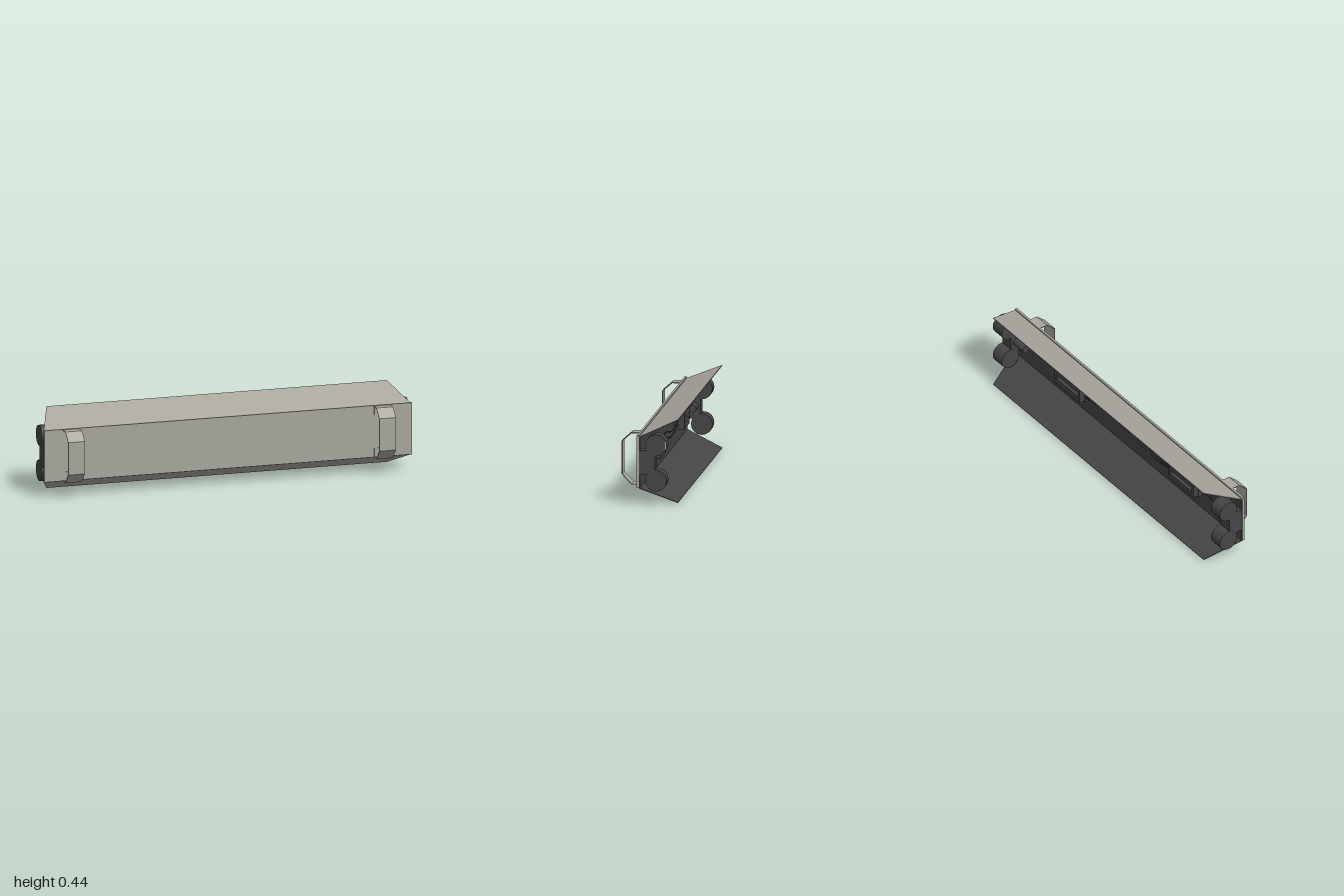
import * as THREE from 'three';

const MID = 0.2215; // height of the horizontal symmetry plane

export function createModel() {
  const root = new THREE.Group();
  root.name = 'lightFixture';
  const mat = (name, color, extra = {}) => {
    const m = new THREE.MeshStandardMaterial({ color, ...extra });
    m.name = name;
    return m;
  };
  const metal = mat('light grey metal', 0xa8a69d);
  const dark = mat('dark grey', 0x454545);
  const darkFlat = dark;

  const add = (parent, name, geo, material, x = 0, y = 0, z = 0) => {
    const m = new THREE.Mesh(geo, material);
    m.name = name;
    m.position.set(x, y, z);
    parent.add(m);
    return m;
  };
  const box = (parent, name, material, w, h, d, x, y, z) =>
    add(parent, name, new THREE.BoxGeometry(w, h, d), material, x, y, z);
  const polygon = (pts) => new THREE.Shape(pts.map(([x, y]) => new THREE.Vector2(x, y)));
  const extrude = (shape, depth) =>
    new THREE.ExtrudeGeometry(shape, { depth, bevelEnabled: false });

  // Back plate with its dark inner lining
  box(root, 'mainPlate', metal, 2, 0.277, 0.012, 0, 0.2265, 0.051);
  box(root, 'innerLining', dark, 1.996, 0.266, 0.004, 0, MID, 0.043);

  // Flared wings: light outside, dark inside
  const rise = 0.084, run = 0.195;
  const len = Math.hypot(rise, run);
  const wingShape = polygon([[-1, 0], [1, 0], [0.925, len], [-0.925, len]]);
  for (const [name, turn] of [['upperWing', 0], ['lowerWing', Math.PI]]) {
    const side = new THREE.Group();
    side.name = name;
    side.position.y = MID;
    side.rotation.z = turn;
    const wing = new THREE.Group();
    wing.position.set(0, 0.1335, 0.045);
    wing.rotation.x = -Math.atan2(run, rise);
    add(wing, 'wingOuterSheet', extrude(wingShape, 0.002), metal);
    add(wing, 'wingInnerSheet', extrude(wingShape, 0.002), dark, 0, 0, -0.002);
    side.add(wing);
    root.add(side);
  }

  // Mounting straps, profile drawn as (z, y) and extruded across x
  const outer = [[0.057, 0.362], [0.1, 0.362], [0.151, 0.317], [0.151, 0.143], [0.1, 0.088], [0.057, 0.088]];
  const inner = [[0.057, 0.092], [0.098, 0.092], [0.147, 0.145], [0.147, 0.315], [0.098, 0.358], [0.057, 0.358]];
  const strapGeo = extrude(polygon([...outer, ...inner]), 0.09);
  strapGeo.rotateY(-Math.PI / 2); // profile x becomes z, depth becomes -x
  for (const x of [-0.853, 0.838]) {
    const strap = new THREE.Group();
    strap.name = 'mountingStrap';
    strap.position.x = x;
    add(strap, 'strapLoop', strapGeo, metal, 0.045);
    for (const y of [0.338, 0.114])
      box(strap, 'strapTab', metal, 0.09, 0.046, 0.003, 0, y, 0.0585);
    root.add(strap);
  }

  // End caps: two round tube holders joined by a block, with an inner stub
  const discGeo = new THREE.CylinderGeometry(0.0565, 0.0565, 0.078, 16);
  discGeo.rotateZ(Math.PI / 2);
  const stubGeo = new THREE.CylinderGeometry(0.02, 0.02, 0.09, 14);
  stubGeo.rotateZ(Math.PI / 2);
  for (const s of [-1, 1]) {
    const cap = new THREE.Group();
    cap.name = 'endCap';
    for (const dy of [0.0935, -0.0935])
      add(cap, 'tubeHolder', discGeo, darkFlat, s * 0.959, MID + dy, -0.043);
    box(cap, 'holderBlock', dark, 0.076, 0.13, 0.082, s * 0.959, MID + 0.001, 0.004);
    add(cap, 'holderStub', stubGeo, dark, s * 0.88, MID, -0.005);
    root.add(cap);
  }
  box(root, 'capMark', metal, 0.002, 0.04, 0.008, 0.999, 0.315, -0.094);

  // Ballast boxes with a raised rim around a recessed slot
  const rim = polygon([[-0.11, -0.045], [0.11, -0.045], [0.11, 0.045], [-0.11, 0.045]]);
  rim.holes.push(new THREE.Path(
    [[-0.095, -0.012], [-0.095, 0.012], [0.095, 0.012], [0.095, -0.012]].map(([x, y]) => new THREE.Vector2(x, y))));
  const rimGeo = extrude(rim, 0.03);
  for (const x of [0.46, -0.54]) {
    const ballast = new THREE.Group();
    ballast.name = 'ballast';
    box(ballast, 'ballastBase', dark, 0.23, 0.1, 0.025, x, MID, 0.0285);
    add(ballast, 'ballastRim', rimGeo, dark, x, MID, -0.014);
    root.add(ballast);
  }

  // Loose cables along the lining
  const cable = (...pts) => {
    const path = new THREE.CatmullRomCurve3(pts.map((p) => new THREE.Vector3(...p)));
    add(root, 'cable', new THREE.TubeGeometry(path, 28, 0.004, 6), dark);
  };
  cable([0.35, 0.21, 0.02], [0.2, 0.225, 0.03], [0, 0.2, 0.034], [-0.25, 0.165, 0.034], [-0.43, 0.2, 0.02]);
  cable([0.35, 0.2, 0.02], [0.2, 0.21, 0.034], [-0.05, 0.22, 0.034], [-0.28, 0.19, 0.034], [-0.43, 0.22, 0.02]);
  cable([-0.65, 0.22, 0.02], [-0.74, 0.21, 0.032], [-0.8, 0.15, 0.034], [-0.86, 0.14, 0.03], [-0.93, 0.17, 0.02]);

  return root;
}
